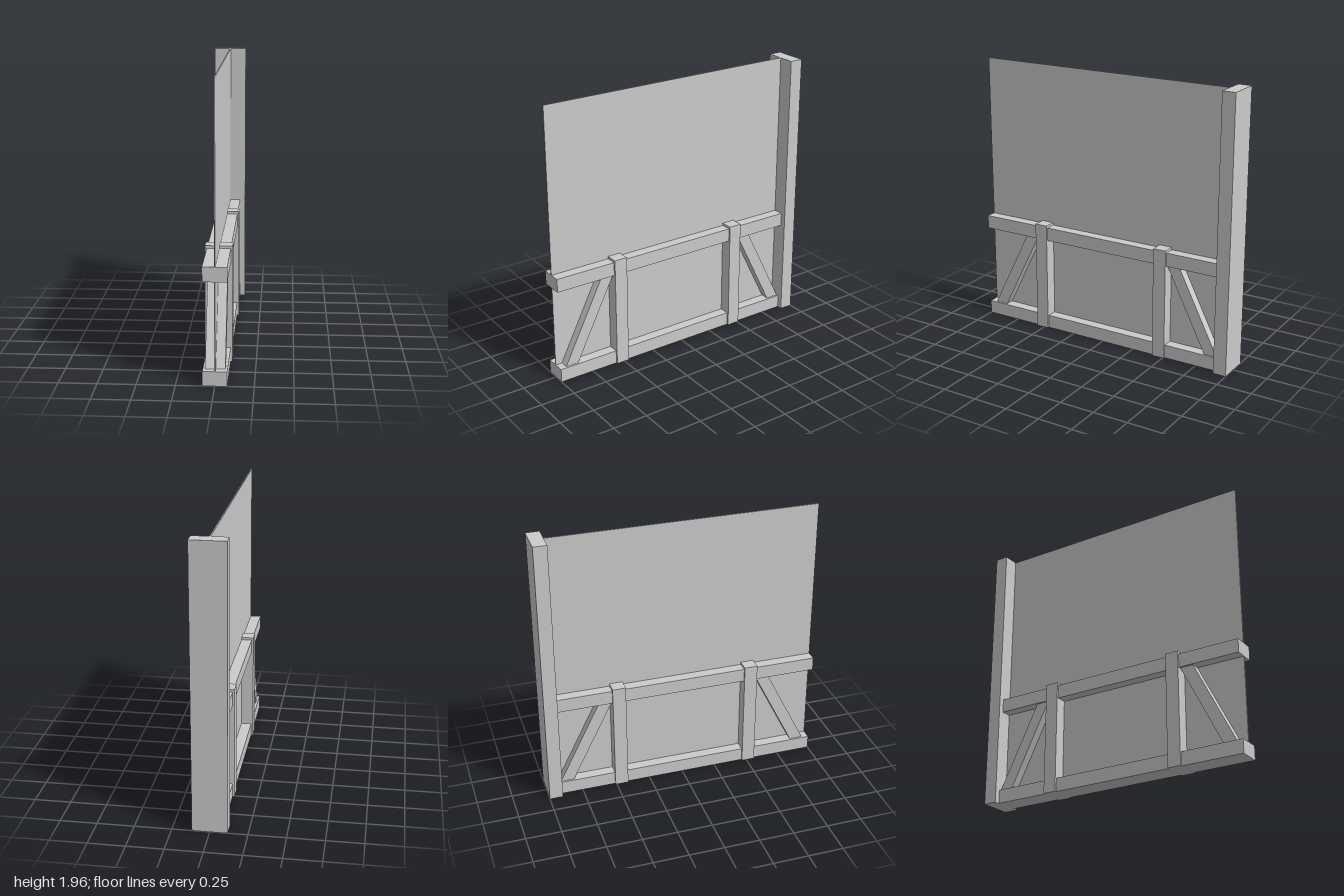
import * as THREE from 'three';

export function createModel() {
  const group = new THREE.Group();
  const material = new THREE.MeshStandardMaterial({ color: 0xcccccc, flatShading: true });

  // Box spanning the given width about x = 0 and the given y and z ranges
  function beam(name, width, y0, y1, z0, z1) {
    const mesh = new THREE.Mesh(new THREE.BoxGeometry(width, y1 - y0, z1 - z0), material);
    mesh.position.set(0, (y0 + y1) / 2, (z0 + z1) / 2);
    mesh.name = name;
    group.add(mesh);
  }

  // Slanted brace with level ends, fitted between the rails
  function brace(name, bottomZ, topZ) {
    const w = 0.095, depth = 0.13, y0 = 0.095, y1 = 0.685;
    const shape = new THREE.Shape([
      new THREE.Vector2(-bottomZ, y0),
      new THREE.Vector2(-bottomZ + w, y0),
      new THREE.Vector2(-topZ + w, y1),
      new THREE.Vector2(-topZ, y1),
    ]);
    const geometry = new THREE.ExtrudeGeometry(shape, { depth, bevelEnabled: false });
    geometry.translate(0, 0, -depth / 2);
    geometry.rotateY(Math.PI / 2); // shape x becomes -z
    const mesh = new THREE.Mesh(geometry, material);
    mesh.name = name;
    group.add(mesh);
  }

  // Thin wall panel and tall end post
  beam('panel', 0.008, 0, 1.955, -0.905, 1);
  beam('endPost', 0.236, 0, 1.955, -1, -0.905);

  // Horizontal rails
  beam('bottomRail', 0.158, 0, 0.097, -0.905, 1);
  beam('topRail', 0.158, 0.685, 0.782, -0.905, 1);

  // Short uprights
  beam('frontPost', 0.184, 0, 0.8, 0.465, 0.56);
  beam('rearPost', 0.184, 0, 0.8, -0.51, -0.415);

  // Diagonal braces leaning in towards the posts
  brace('frontBrace', 0.953, 0.657);
  brace('rearBrace', -0.808, -0.512);

  return group;
}
